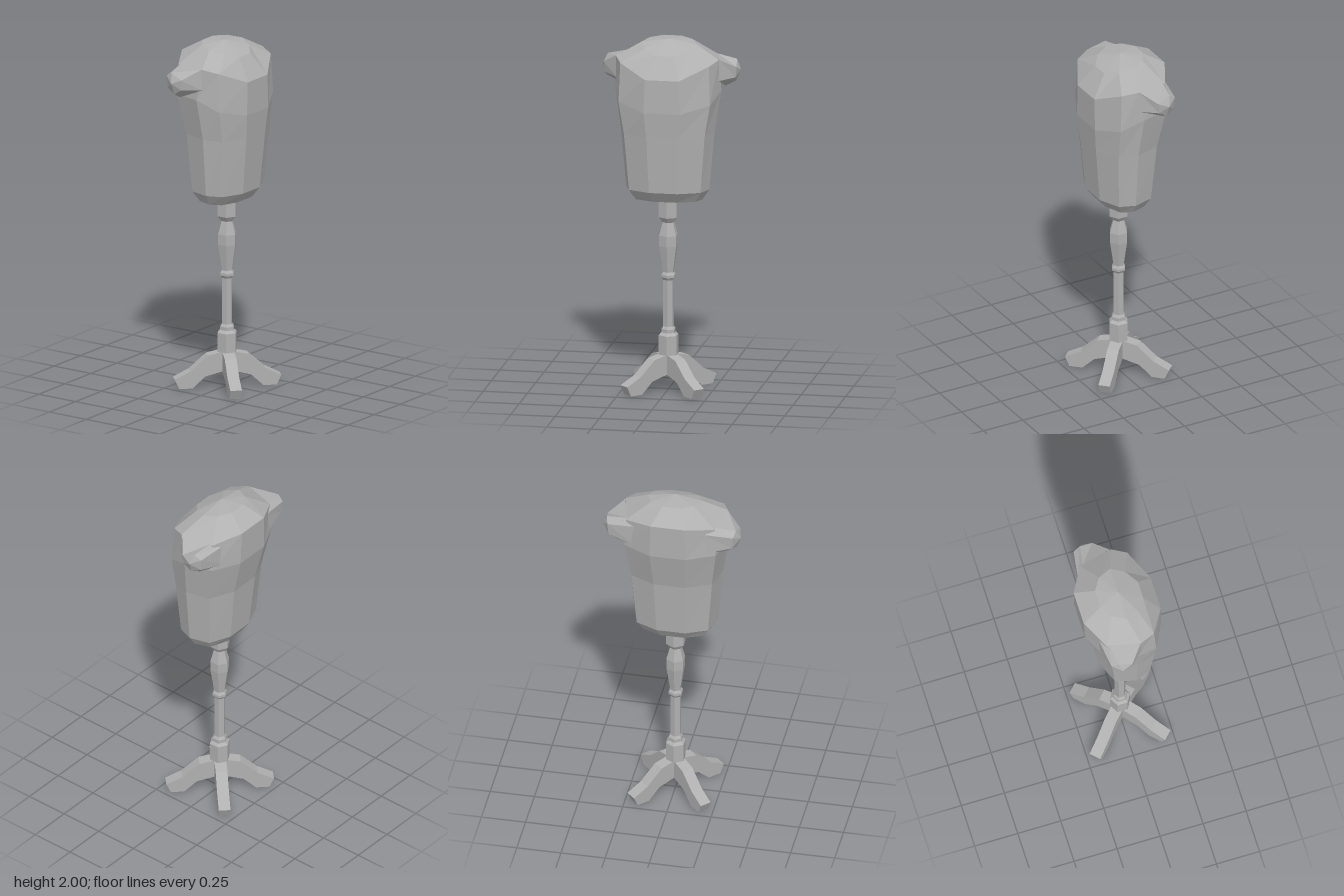
import * as THREE from 'three';

// Skin through equal-length rings of [x, y, z]; a one-point ring closes an end.
function loft(rings) {
  const pos = [];
  const n = Math.max(...rings.map((r) => r.length));
  const at = (r, j) => r[j % r.length];
  for (let i = 0; i < rings.length - 1; i++) {
    const lo = rings[i], hi = rings[i + 1];
    for (let j = 0; j < n; j++) {
      const a = at(lo, j), b = at(lo, j + 1), c = at(hi, j + 1), d = at(hi, j);
      if (lo.length > 1) pos.push(...a, ...b, ...c);
      if (hi.length > 1) pos.push(...a, ...c, ...d);
      else if (lo.length === 1) break;
    }
  }
  const geo = new THREE.BufferGeometry();
  geo.setAttribute('position', new THREE.Float32BufferAttribute(pos, 3));
  geo.computeVertexNormals();
  return geo;
}

// Complete a half ring (+x side, front to back) with its mirror image.
const mirrorRing = (half) => [...half, ...half.map(([x, y, z]) => [-x, y, z]).reverse()];

// Body section: half width, front and back depth, heights from front to back.
function section(w, front, back, heights) {
  const fx = [0.34, 0.86, 1, 0.86, 0.34];
  const fz = [1, 0.65, 0.08, -0.66, -1];
  const mid = (front + back) / 2, half = (front - back) / 2;
  return mirrorRing(fx.map((f, i) => [f * w, heights[i], mid + fz[i] * half]));
}

export function createModel() {
  const model = new THREE.Group();
  model.name = 'dressForm';
  const grey = new THREE.MeshStandardMaterial({ color: 0xb0b0b0 });
  grey.name = 'plain grey';
  grey.flatShading = true;
  const add = (name, geo) => {
    const mesh = new THREE.Mesh(geo, grey);
    mesh.name = name;
    model.add(mesh);
    return mesh;
  };

  // Torso with sloping shoulders and a domed top
  const level = (y) => Array(5).fill(y);
  add('torso', loft([
    [[0, 1.08, 0.01]],
    section(0.195, 0.12, -0.105, level(1.095)),
    section(0.235, 0.165, -0.145, level(1.155)),
    section(0.265, 0.195, -0.18, [1.48, 1.48, 1.49, 1.49, 1.49]),
    section(0.3, 0.208, -0.235, [1.62, 1.66, 1.72, 1.72, 1.72]),
    mirrorRing([[0.095, 1.81, 0.207], [0.25, 1.88, 0.12], [0.29, 1.9, 0.035],
      [0.25, 1.89, -0.155], [0.095, 1.925, -0.24]]),
    mirrorRing([[0.05, 1.93, 0.12], [0.12, 1.955, 0.065], [0.155, 1.975, -0.01],
      [0.12, 1.985, -0.085], [0.05, 1.99, -0.13]]),
    [[0, 2, -0.01]],
  ]));

  // Arm stubs: rings run from the shoulder to the tip
  const stub = [
    [[0.19, 1.74, -0.185], [0.19, 1.87, -0.185], [0.25, 1.895, -0.14],
      [0.29, 1.9, 0.03], [0.29, 1.78, 0.035], [0.3, 1.72, -0.11]],
    [[0.35, 1.78, -0.155], [0.355, 1.85, -0.16], [0.365, 1.875, -0.12],
      [0.375, 1.845, -0.045], [0.37, 1.785, -0.05], [0.365, 1.755, -0.1]],
    [[0.39, 1.82, -0.105]],
  ];
  add('leftArmStub', loft(stub));
  add('rightArmStub', loft(stub.map((r) => r.map(([x, y, z]) => [-x, y, z]).reverse())));

  // Turned six-sided pole
  const profile = [
    [0, 0.2], [0.058, 0.2], [0.058, 0.31], [0.042, 0.325], [0.042, 0.345], [0.031, 0.36],
    [0.031, 0.625], [0.042, 0.64], [0.042, 0.655], [0.032, 0.67], [0.055, 0.82],
    [0.055, 0.88], [0.034, 0.955], [0.04, 0.96], [0.058, 0.985], [0.058, 1.1],
  ].map(([r, y]) => new THREE.Vector2(r, y));
  add('pole', new THREE.LatheGeometry(profile, 6));

  // Four splayed feet on the diagonals
  const legShape = new THREE.Shape([
    [0, 0.1], [0.13, 0.065], [0.2, 0], [0.275, 0], [0.3, 0.055],
    [0.21, 0.1], [0.115, 0.185], [0, 0.21],
  ].map(([s, y]) => new THREE.Vector2(s, y)));
  const legGeo = new THREE.ExtrudeGeometry(legShape, { depth: 0.066, bevelEnabled: false });
  legGeo.translate(0, 0, -0.033);
  for (let i = 0; i < 4; i++) {
    add('leg' + (i + 1), legGeo).rotation.y = Math.PI / 4 + (i * Math.PI) / 2;
  }
  return model;
}
